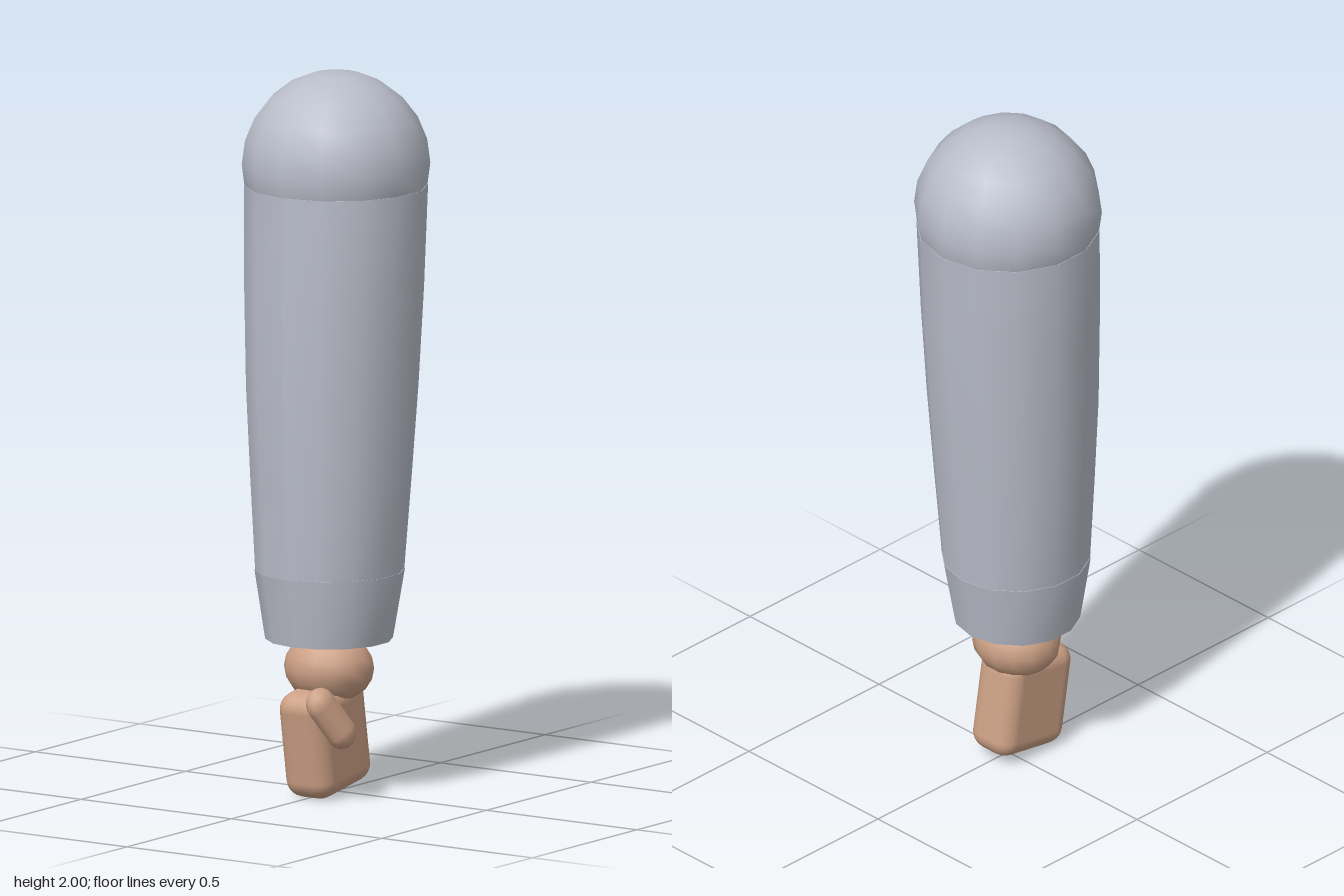
import * as THREE from 'three';
import { RoundedBoxGeometry } from 'three/addons/geometries/RoundedBoxGeometry.js';

const SIDES = 14;

// Tapered tube through rings of [y, radius, z centre], closed by flat caps
function taperedTube(rings, material, name) {
  const group = new THREE.Group();
  group.name = name;
  const wall = new THREE.LatheGeometry(rings.map(([y, r]) => new THREE.Vector2(r, y)), SIDES);
  const pos = wall.attributes.position;
  for (let i = 0; i < pos.count; i++) {
    pos.setZ(i, pos.getZ(i) + rings[i % rings.length][2]);
  }
  wall.computeVertexNormals();
  const wallMesh = new THREE.Mesh(wall, material);
  wallMesh.name = name + 'Wall';
  group.add(wallMesh);

  [[rings[0], 1], [rings[rings.length - 1], -1]].forEach(([[y, r, z], up]) => {
    const cap = new THREE.CircleGeometry(r, SIDES, Math.PI / 2);
    cap.rotateX(-up * Math.PI / 2).translate(0, y, z);
    const capMesh = new THREE.Mesh(cap, material);
    capMesh.name = name + 'Cap';
    group.add(capMesh);
  });
  return group;
}

export function createModel() {
  const model = new THREE.Group();
  model.name = 'arm';
  const cloth = new THREE.MeshStandardMaterial({ color: 0xb9bdc9 });
  cloth.name = 'sleeve grey';
  cloth.side = THREE.DoubleSide;
  const skin = new THREE.MeshStandardMaterial({ color: 0xcca085 });
  skin.name = 'skin';

  const add = (name, geometry, material) => {
    const mesh = new THREE.Mesh(geometry, material);
    mesh.name = name;
    model.add(mesh);
    return mesh;
  };

  // Shoulder ball
  const shoulder = add('shoulder', new THREE.SphereGeometry(0.258, SIDES, 12), cloth);
  shoulder.rotation.y = Math.PI / 2;
  shoulder.position.y = 1.742;

  // Sleeve, narrowing faster below the elbow and leaning forward
  model.add(taperedTube([
    [1.684, 0.252, 0], [1.4, 0.246, 0.009], [1.13, 0.236, 0.018],
    [0.88, 0.221, 0.024], [0.62, 0.204, 0.03],
  ], cloth, 'sleeve'));

  // Cuff
  model.add(taperedTube([[0.622, 0.206, 0.03], [0.43, 0.175, 0.033]], cloth, 'cuff'));

  // Wrist
  const wrist = add('wrist', new THREE.SphereGeometry(1, SIDES, 10), skin);
  wrist.scale.set(0.127, 0.1, 0.118);
  wrist.position.set(0, 0.35, 0.033);

  // Mitten-like palm, tipped forward at the top
  const palm = add('palm', new RoundedBoxGeometry(0.152, 0.3, 0.252, 3, 0.05), skin);
  palm.rotation.x = 0.16;
  palm.position.set(0, 0.16, 0.053);

  // Thumb, a flattened capsule on the inner front of the palm
  const axis = new THREE.Vector3(-0.03, 0.075, 0.045);
  const thumb = add('thumb', new THREE.CapsuleGeometry(0.05, axis.length(), 4, 10), skin);
  thumb.scale.x = 0.75;
  thumb.quaternion.setFromUnitVectors(new THREE.Vector3(0, 1, 0), axis.clone().normalize());
  thumb.position.set(0.083, 0.232, 0.143);

  return model;
}
